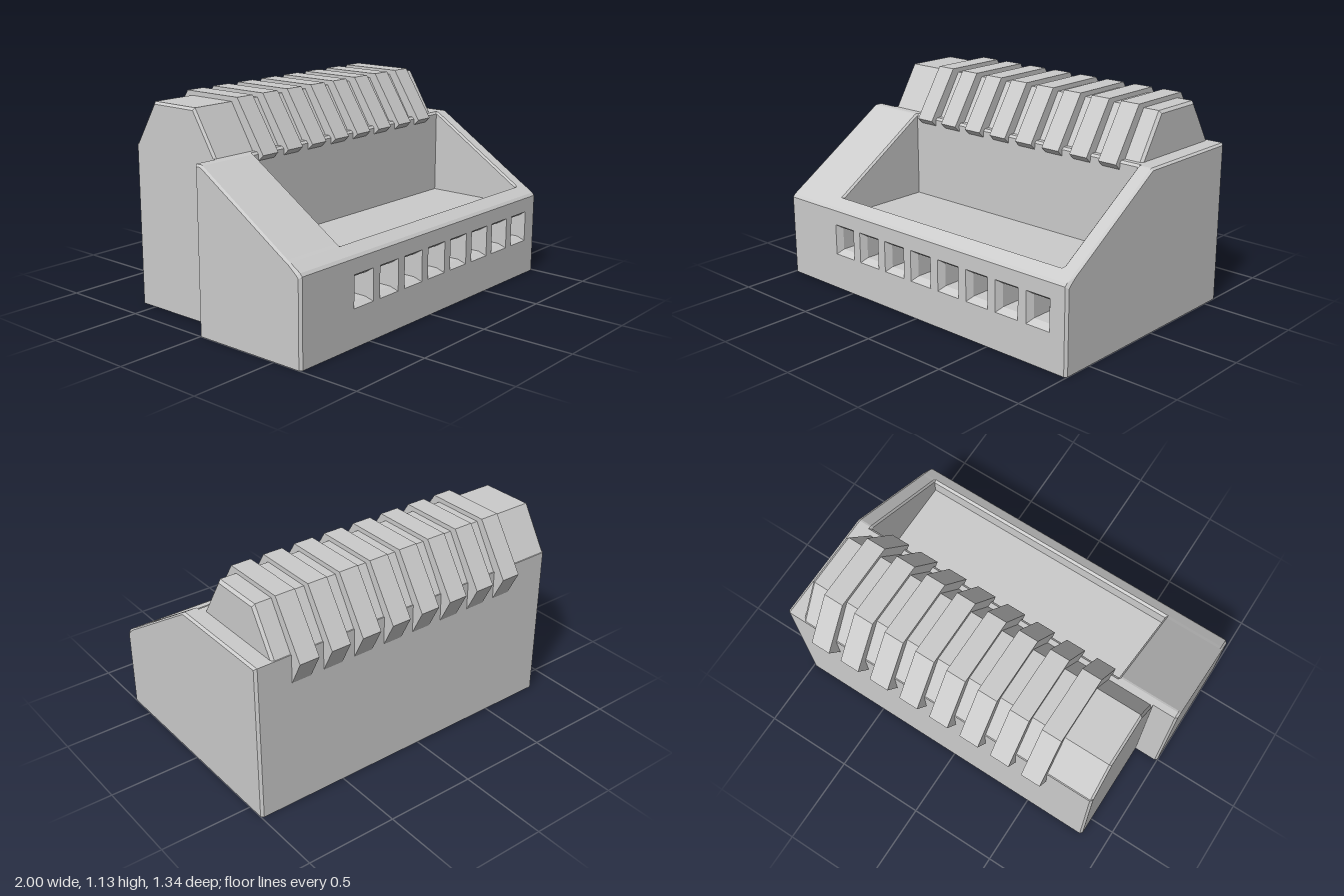
import * as THREE from 'three';

const material = new THREE.MeshStandardMaterial({ color: 0xcccccc, flatShading: true });
const insideMaterial = new THREE.MeshStandardMaterial({ color: 0xcccccc, flatShading: true, side: THREE.DoubleSide });

function part(name, geometry, mat = material) {
  const mesh = new THREE.Mesh(geometry, mat);
  mesh.name = name;
  return mesh;
}

// Joins [z, y] cross-sections along x; skip(i, j) leaves out edge j between sections i and i + 1.
function loft(sections, skip = () => false) {
  const pos = [];
  const n = sections[0].points.length;
  const put = (i, j) => {
    const [z, y] = sections[i].points[j % n];
    pos.push(sections[i].x, y, z);
  };
  for (let i = 0; i < sections.length - 1; i++) {
    for (let j = 0; j < n; j++) {
      if (skip(i, j)) continue;
      put(i, j); put(i + 1, j); put(i + 1, j + 1);
      put(i, j); put(i + 1, j + 1); put(i, j + 1);
    }
  }
  // End caps
  const last = sections.length - 1;
  for (const i of [0, last]) {
    const contour = sections[i].points.map(([z, y]) => new THREE.Vector2(z, y));
    for (const [a, b, c] of THREE.ShapeUtils.triangulateShape(contour, [])) {
      (i === 0 ? [a, b, c] : [a, c, b]).forEach((j) => put(i, j));
    }
  }
  const geometry = new THREE.BufferGeometry();
  geometry.setAttribute('position', new THREE.Float32BufferAttribute(pos, 3));
  geometry.computeVertexNormals();
  return geometry;
}

// Side profile of the housing. pocket: 0 closed, 1 rim chamfer, 2 full depth
function housingSection(x, { front = 0.67, back = -0.605, drop = 0, pocket = 0 } = {}) {
  const rim = pocket === 1 ? 0.013 : 0;
  const middle = pocket === 2
    ? [[0.585, 0.49], [0.585, 0.4], [0.025, 0.4], [0.025, 0.858]]
    : [[0.585, 0.511], [0.58, 0.514], [0.035, 0.867], [0.025, 0.87]].map(([z, y]) => [z, y - rim - drop]);
  return {
    x,
    points: [
      [back, 0], [front, 0], [front, 0.45 - drop], [front - 0.012, 0.465 - drop], [0.6, 0.502 - drop],
      ...middle, [0.012, 0.87 - drop], [back, 0.87 - drop],
    ],
  };
}

function createHousing() {
  const sections = [
    housingSection(-1, { front: 0.657, back: 0.003, drop: 0.01 }),
    housingSection(-0.987, { back: -0.01 }),
    housingSection(-0.86, { back: -0.01 }), // step at the back of the side flange
    housingSection(-0.86, { back: -0.592 }),
    housingSection(-0.848),
    housingSection(-0.65),
    housingSection(-0.64, { pocket: 1 }),
    housingSection(-0.64, { pocket: 2 }),
    housingSection(0.91, { pocket: 2 }),
    housingSection(0.91, { pocket: 1 }),
    housingSection(0.92),
    housingSection(0.987),
    housingSection(1, { front: 0.657, back: -0.592, drop: 0.01 }),
  ];
  // The front face of the pocket span is closed by the slotted panel
  return part('housing', loft(sections, (i, j) => i === 7 && j === 1));
}

function rectangle(path, x0, y0, x1, y1) {
  return path.moveTo(x0, y0).lineTo(x1, y0).lineTo(x1, y1).lineTo(x0, y1).closePath();
}

function createWireSlots() {
  const group = new THREE.Group();
  group.name = 'wireEntryFront';
  const w = 0.145, h = 0.17, y = 0.285;
  const panel = rectangle(new THREE.Shape(), -0.64, 0, 0.91, 0.45);

  // Funnel with a square mouth, a straight shaft and a closed end
  const profile = [[1, 0], [0.72, -0.035], [0.72, -0.15], [0, -0.15]].map(([r, d]) => new THREE.Vector2(r, d));
  const funnel = new THREE.LatheGeometry(profile, 4, Math.PI / 4);
  funnel.rotateX(Math.PI / 2).scale(w * Math.SQRT1_2, h * Math.SQRT1_2, 1);

  for (let i = 0; i < 8; i++) {
    const x = -0.55 + i * 0.1965;
    panel.holes.push(rectangle(new THREE.Path(), x - w / 2, y - h / 2, x + w / 2, y + h / 2));
    const slot = part('wireSlot', funnel, insideMaterial);
    slot.position.set(x, y, 0.67);
    group.add(slot);
  }
  const face = part('slottedPanel', new THREE.ShapeGeometry(panel));
  face.position.z = 0.67;
  group.add(face);
  return group;
}

function createRidge() {
  const section = (x, c) => ({
    x,
    points: [[-0.605 + c, 0.86], [-0.01 - c, 0.86], [-0.16 - c * 0.5, 1.105 - c], [-0.455 + c * 0.5, 1.105 - c]],
  });
  return part('ridge', loft([section(-0.86, 0.013), section(-0.848, 0), section(0.888, 0), section(0.902, 0.015)]));
}

function createFins() {
  const group = new THREE.Group();
  group.name = 'fins';
  const points = [
    [-0.59, 0.71], [0.02, 0.71], [0.02, 0.82], [0.057, 0.855],
    [-0.12, 1.13], [-0.488, 1.13], [-0.673, 0.85], [-0.603, 0.71],
  ];
  const geometry = loft([{ x: -0.055, points }, { x: 0.055, points }]);
  for (let i = 0; i < 8; i++) {
    const fin = part('fin', geometry);
    fin.position.x = -0.545 + i * 0.184;
    group.add(fin);
  }
  return group;
}

export function createModel() {
  const model = new THREE.Group();
  model.name = 'terminalBlock';
  model.add(createHousing(), createWireSlots(), createRidge(), createFins());
  return model;
}
